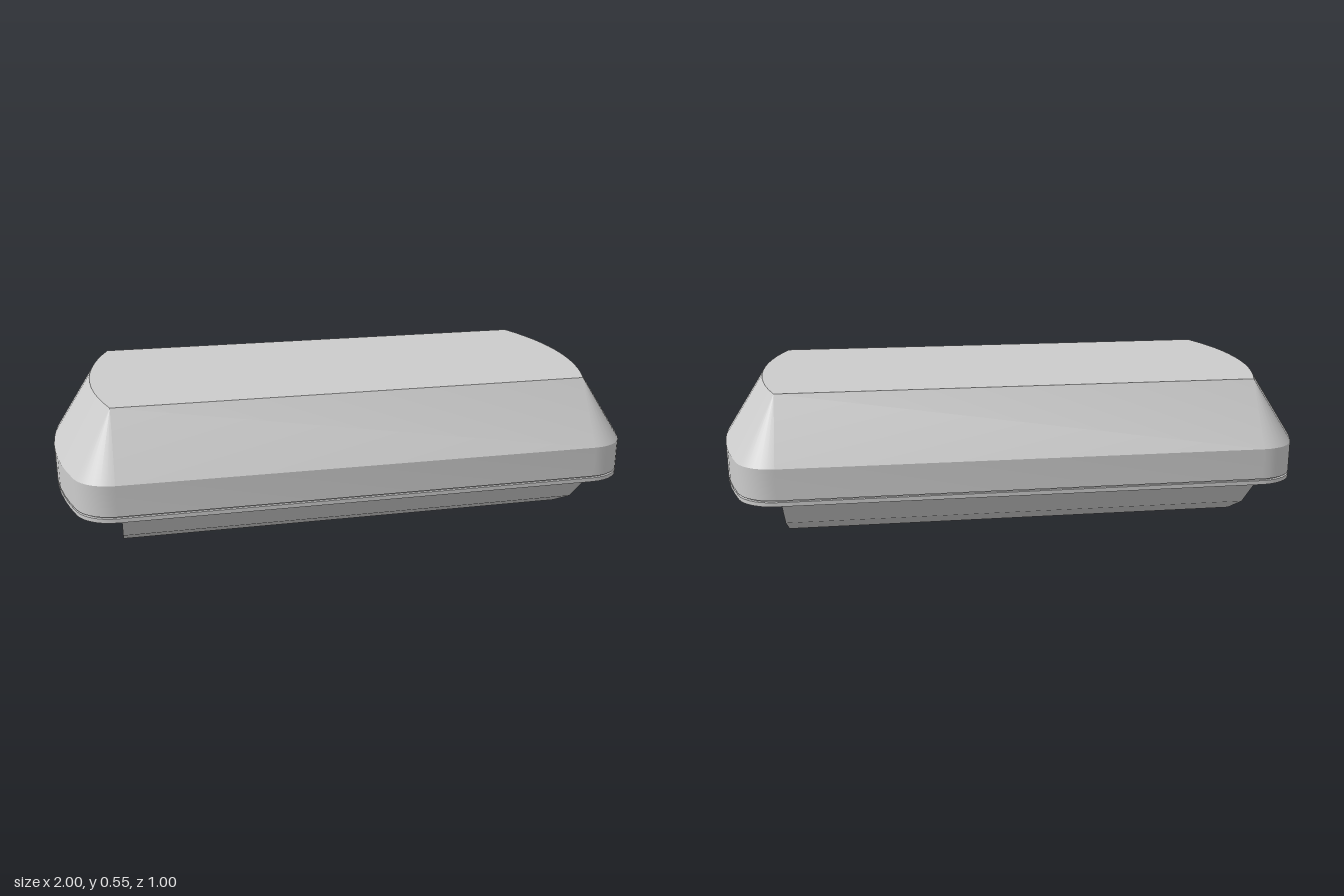
import * as THREE from 'three';
import { toCreasedNormals } from 'three/addons/utils/BufferGeometryUtils.js';

// Flat top outline: straight long sides, bowed ends
const CORNER_X = 0.8, CORNER_Z = 0.365, END_X = 0.865;
const SAG = END_X - CORNER_X;
const BOW_R = (CORNER_Z ** 2 + SAG ** 2) / (2 * SAG);
const BOW_A = Math.asin(CORNER_Z / BOW_R);

// Outline grown outward by a distance, with rounded corners; returns [x, z] pairs
function outline(offset) {
  const quarter = [];
  for (let i = 0; i <= 6; i++) {
    const a = (BOW_A * i) / 6, r = BOW_R + offset;
    quarter.push([END_X - BOW_R + r * Math.cos(a), r * Math.sin(a)]);
  }
  for (let i = 1; i <= 7; i++) {
    const a = BOW_A + ((Math.PI / 2 - BOW_A) * i) / 7;
    quarter.push([CORNER_X + offset * Math.cos(a), CORNER_Z + offset * Math.sin(a)]);
  }
  const half = [...quarter, ...quarter.map(([x, z]) => [-x, z]).reverse()];
  return [...half, ...half.slice(1, -1).map(([x, z]) => [x, -z]).reverse()];
}

// Closed solid through rings of [y, offset], listed from bottom to top
function loft(rings) {
  const pos = [];
  const loops = rings.map(([y, off]) => outline(off).map(([x, z]) => [x, y, z]));
  const n = loops[0].length, last = loops.length - 1;
  const tri = (...pts) => pts.forEach((p) => pos.push(...p));
  for (let i = 0; i < n; i++) {
    const j = (i + 1) % n;
    for (let k = 0; k < last; k++) {
      const lo = loops[k], hi = loops[k + 1];
      tri(lo[i], hi[j], lo[j]);
      tri(lo[i], hi[i], hi[j]);
    }
    tri([0, rings[0][0], 0], loops[0][i], loops[0][j]);
    tri([0, rings[last][0], 0], loops[last][j], loops[last][i]);
  }
  const geo = new THREE.BufferGeometry();
  geo.setAttribute('position', new THREE.Float32BufferAttribute(pos, 3));
  return toCreasedNormals(geo, 0.3);
}

export function createModel() {
  const model = new THREE.Group();
  model.name = 'housing';
  const grey = new THREE.MeshStandardMaterial({ color: 0xcccccc });
  grey.name = 'light grey';
  const add = (name, geo) => {
    const mesh = new THREE.Mesh(geo, grey);
    mesh.name = name;
    model.add(mesh);
    return mesh;
  };

  // Cover with upright rim and sloping shoulders
  add('cover', loft([[0.238, 0.135], [0.342, 0.135], [0.552, 0]]));

  // Recessed seam and thin base plate
  add('seam', loft([[0.23, 0.125], [0.24, 0.125]]));
  add('basePlate', loft([[0.218, 0.135], [0.232, 0.135]]));

  // Faceted belly underneath
  const side = [[0.08, 0], [0.23, 0.04], [0.36, 0.11], [0.475, 0.22]];
  const profile = [...side.map(([z, y]) => [-z, y]).reverse(), ...side];
  const shape = new THREE.Shape(profile.map(([z, y]) => new THREE.Vector2(z, y)));
  const belly = new THREE.ExtrudeGeometry(shape, { depth: 1.576, bevelEnabled: false });
  belly.translate(0, 0, -0.788).rotateY(Math.PI / 2);
  add('belly', belly);

  return model;
}
